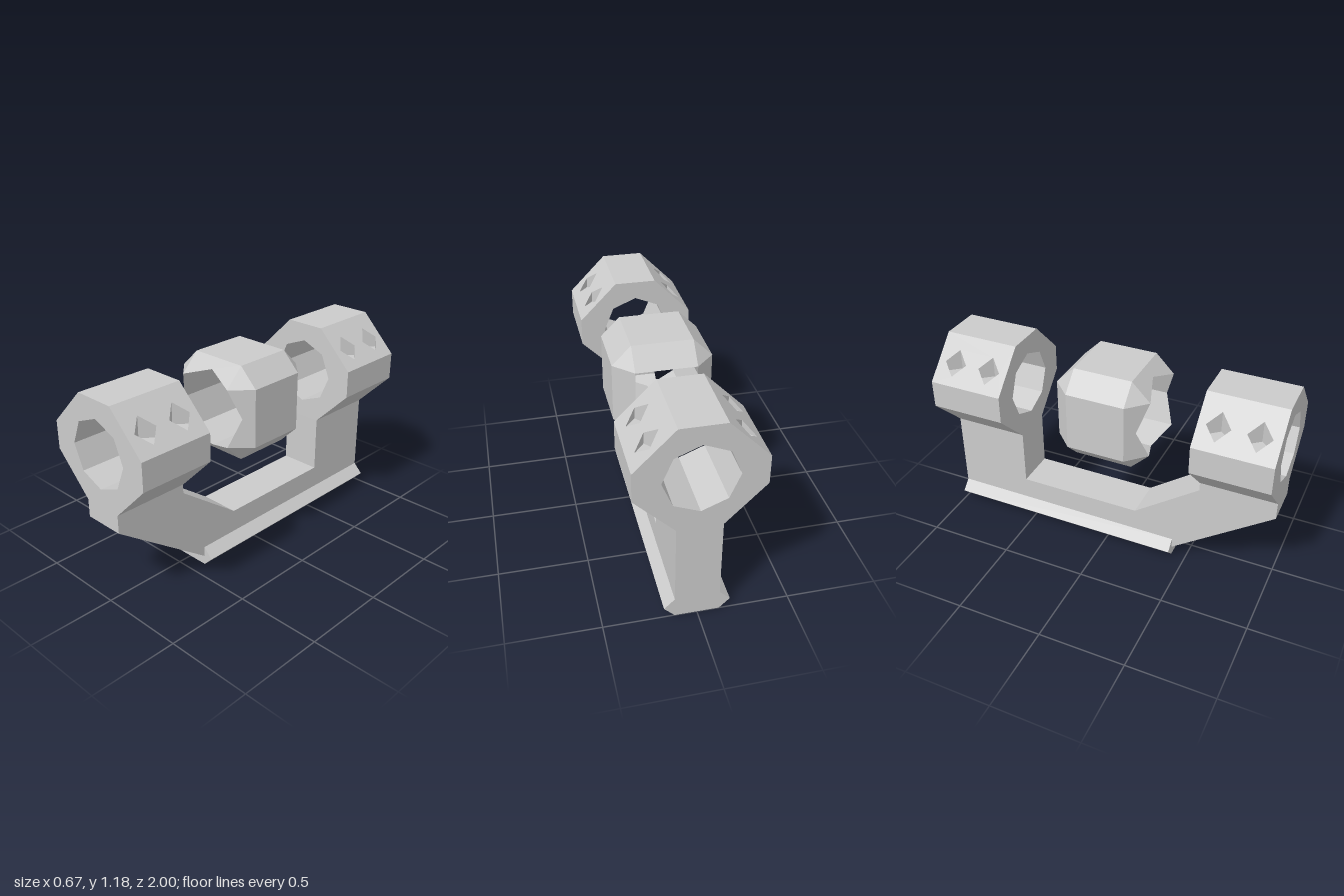
import * as THREE from 'three';

const material = new THREE.MeshStandardMaterial({ color: 0xcccccc, flatShading: true });
const CENTRE_Y = 0.88;

function part(name, geometry, parent) {
  const mesh = new THREE.Mesh(geometry, material);
  mesh.name = name;
  parent.add(mesh);
  return mesh;
}

const shapeOf = (points) => new THREE.Shape(points.map(([x, y]) => new THREE.Vector2(x, y)));

// Flat polygons, each fanned from its first corner
function polygons(loops) {
  const positions = [];
  for (const loop of loops) {
    for (let i = 1; i < loop.length - 1; i++) positions.push(...loop[0], ...loop[i], ...loop[i + 1]);
  }
  const geometry = new THREE.BufferGeometry();
  geometry.setAttribute('position', new THREE.Float32BufferAttribute(positions, 3));
  geometry.computeVertexNormals();
  return geometry;
}

// Eight-sided clamp ring: the upper slanted sides carry two screw recesses each
function clampRing(name, z) {
  const ring = new THREE.Group();
  ring.name = name;
  ring.position.set(0, CENTRE_Y, z);
  const a = 0.12, b = 0.08, w = 0.336, h = 0.298, depth = 0.44;

  const outline = shapeOf([[a, -h], [w, -b], [w, b], [a, h], [-a, h], [-w, b], [-w, -b], [-a, -h]]);
  const bore = [];
  for (let i = 0; i < 8; i++) {
    const t = (i * Math.PI) / 4;
    bore.push(new THREE.Vector2(0.195 * Math.cos(t), 0.195 * Math.sin(t)));
  }
  outline.holes.push(new THREE.Path(bore));
  let body = new THREE.ExtrudeGeometry(outline, { depth, bevelEnabled: false });
  if (body.index) body = body.toNonIndexed();
  body.translate(0, 0, -depth / 2);

  // Leave out the two upper slanted sides, which are built with recesses below
  const pos = body.attributes.position, normal = body.attributes.normal, kept = [];
  for (let i = 0; i < pos.count; i += 3) {
    if (normal.getY(i) > 0.6 && Math.abs(normal.getX(i)) > 0.6) continue;
    for (let k = i; k < i + 3; k++) kept.push([pos.getX(k), pos.getY(k), pos.getZ(k)]);
  }
  const triangles = [];
  for (let i = 0; i < kept.length; i += 3) triangles.push(kept.slice(i, i + 3));
  part('ringBody', polygons(triangles), ring);

  // Slanted panel with diamond openings, then the vertical walls and floor of each recess
  const slope = (x) => h - ((x - a) * (h - b)) / (w - a);
  const panelShape = shapeOf([[a, -depth / 2], [w, -depth / 2], [w, depth / 2], [a, depth / 2]]);
  const floorY = 0.995 - CENTRE_Y, recessLoops = [];
  for (const v of [-0.108, 0.108]) {
    const diamond = [[0.24 + 0.057, v], [0.24, v + 0.067], [0.24 - 0.057, v], [0.24, v - 0.067]];
    panelShape.holes.push(new THREE.Path(diamond.map(([x, y]) => new THREE.Vector2(x, y))));
    diamond.forEach((p, i) => {
      const q = diamond[(i + 1) % 4];
      recessLoops.push([
        [p[0], slope(p[0]), -p[1]], [q[0], slope(q[0]), -q[1]],
        [q[0], floorY, -q[1]], [p[0], floorY, -p[1]],
      ]);
    });
    recessLoops.push(diamond.map(([x, y]) => [x, floorY, -y]));
  }
  const panel = new THREE.ShapeGeometry(panelShape);
  const pp = panel.attributes.position;
  for (let i = 0; i < pp.count; i++) pp.setXYZ(i, pp.getX(i), slope(pp.getX(i)), -pp.getY(i));
  panel.computeVertexNormals();
  const recess = polygons(recessLoops);
  for (const [side, turn] of [['left', 0], ['right', Math.PI]]) {
    part(side + 'SlantedPanel', panel, ring).rotation.y = turn;
    part(side + 'ScrewRecesses', recess, ring).rotation.y = turn;
  }
  return ring;
}

// Chamfered cube with an eight-sided bore that eats away its front and back faces
function adjusterKnob() {
  const s = 0.277, c = 0.17, n = 0.227, m = s + c - n;
  const loops = [];
  for (let k = 0; k < 4; k++) {
    const quarter = [
      // side face and the chamfer to the next side
      [[-c, s, c], [c, s, c], [c, s, -c], [-c, s, -c]],
      [[c, s, c], [s, c, c], [s, c, -c], [c, s, -c]],
      // bore walls
      [[c, c, s], [0, n, m], [0, n, -m], [c, c, -s]],
      [[0, n, m], [-c, c, s], [-c, c, -s], [0, n, -m]],
    ];
    // notched end chamfers and corner triangles, front and back
    const ends = [
      [[0, n, m], [c, c, s], [c, s, c], [-c, s, c], [-c, c, s]],
      [[c, s, c], [c, c, s], [s, c, c]],
    ];
    for (const loop of ends) {
      quarter.push(loop, loop.map(([x, y, z]) => [x, y, -z]).reverse());
    }
    const cos = [1, 0, -1, 0][k], sin = [0, 1, 0, -1][k];
    for (const loop of quarter) {
      loops.push(loop.map(([x, y, z]) => [x * cos - y * sin, x * sin + y * cos, z]));
    }
  }
  return polygons(loops);
}

export function createModel() {
  const model = new THREE.Group();
  model.name = 'mountBracket';

  // Clamp rings, front and rear
  model.add(clampRing('frontClampRing', 0.78), clampRing('rearClampRing', -0.78));

  // Floating adjuster between the rings
  part('adjusterKnob', adjusterKnob(), model).position.set(0, 0.882, -0.003);

  // Bracket with a raked front arm and an upright rear arm (profile in z, y)
  const profile = shapeOf([
    [1, 0.585], [0.56, 0.585], [0.56, 0.53], [0.175, 0.25], [-0.56, 0.25],
    [-0.56, 0.585], [-1, 0.585], [-1, 0.055], [0.415, 0.055], [1, 0.478],
  ]);
  const bracket = new THREE.ExtrudeGeometry(profile, { depth: 0.24, bevelEnabled: false });
  bracket.rotateY(-Math.PI / 2).translate(0.12, 0, 0);
  part('bracket', bracket, model);

  // Pointed-edge rail clamp under the bracket
  const railShape = shapeOf([
    [-0.12, 0], [0.12, 0], [0.177, 0.058], [0.12, 0.115], [-0.12, 0.115], [-0.177, 0.058],
  ]);
  const rail = new THREE.ExtrudeGeometry(railShape, { depth: 1.415, bevelEnabled: false });
  part('railClamp', rail.translate(0, 0, -1), model);

  return model;
}
